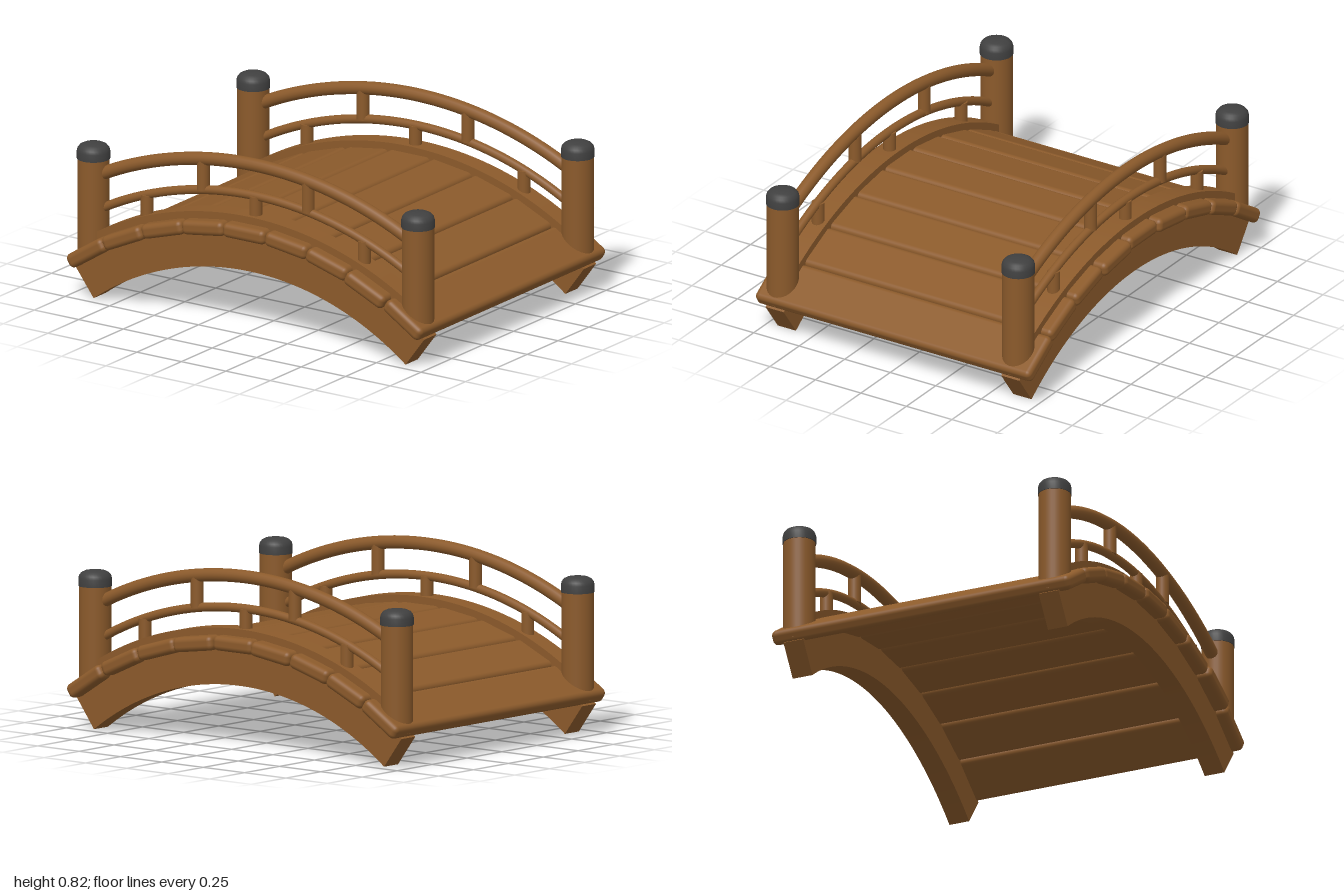
import * as THREE from 'three';
import { toCreasedNormals } from 'three/addons/utils/BufferGeometryUtils.js';
import { RoundedBoxGeometry } from 'three/addons/geometries/RoundedBoxGeometry.js';

const wood = new THREE.MeshStandardMaterial({ color: 0x8b5a2b });
wood.name = 'wood';
const iron = new THREE.MeshStandardMaterial({ color: 0x404040 });
iron.name = 'darkIron';

// every curved part shares one arch centre on the line x = 0
const CENTRE_Y = -1.175;
const SIDE_Z = 0.647;
const POST_X = 0.912;
const arcY = (r, x) => Math.sqrt(r * r - x * x) + CENTRE_Y;

function add(parent, name, geometry, material, x = 0, y = 0, z = 0) {
  const mesh = new THREE.Mesh(geometry, material);
  mesh.name = name;
  mesh.position.set(x, y, z);
  parent.add(mesh);
  return mesh;
}

// curved beam with radial ends, centred on z = 0
function archBeam(inner, outer, halfAngle, width) {
  const s = new THREE.Shape();
  const a0 = Math.PI / 2 - halfAngle, a1 = Math.PI / 2 + halfAngle;
  s.absarc(0, CENTRE_Y, outer, a0, a1, false);
  s.absarc(0, CENTRE_Y, inner, a1, a0, true);
  s.closePath();
  const g = new THREE.ExtrudeGeometry(s, { depth: width, bevelEnabled: false, curveSegments: 40 });
  g.translate(0, 0, -width / 2);
  return toCreasedNormals(g, 0.5);
}

// round handrail following the arch, ending inside the posts
function archRail(radius, thickness) {
  const end = Math.asin(0.88 / radius);
  const points = [];
  for (let i = 0; i <= 16; i++) {
    const a = -end + (2 * end * i) / 16;
    points.push(new THREE.Vector3(radius * Math.sin(a), radius * Math.cos(a) + CENTRE_Y, 0));
  }
  return new THREE.TubeGeometry(new THREE.CatmullRomCurve3(points), 48, thickness, 16);
}

// post whose foot is cut to the slope of the deck
function postGeometry(side) {
  const top = 0.67;
  const g = new THREE.CylinderGeometry(0.075, 0.075, top, 32);
  g.translate(0, top / 2, 0);
  const p = g.attributes.position;
  for (let i = 0; i < p.count; i++) {
    if (p.getY(i) < 0.1) p.setY(i, arcY(1.66, POST_X + p.getX(i) * side));
  }
  return g;
}

// domed cap with a small overhang
function capGeometry() {
  const profile = [[0, 0], [0.078, 0], [0.078, 0.035], [0.074, 0.05], [0.064, 0.062], [0.048, 0.07], [0.025, 0.074], [0, 0.075]];
  return toCreasedNormals(new THREE.LatheGeometry(profile.map(([x, y]) => new THREE.Vector2(x, y)), 32), 0.7);
}

function baluster(parent, x, fromR, toR) {
  const y0 = arcY(fromR, x), y1 = arcY(toR, x);
  add(parent, 'baluster', new THREE.CylinderGeometry(0.03, 0.03, y1 - y0, 20), wood, x, (y0 + y1) / 2, 0);
}

export function createModel() {
  const bridge = new THREE.Group();
  bridge.name = 'archedFootbridge';

  // deck of nine planks, slightly staggered sideways
  const deck = new THREE.Group();
  deck.name = 'deck';
  bridge.add(deck);
  const stagger = [0, 0, -0.002, -0.005, 0.002, -0.006, 0, 0.005, -0.006];
  for (let i = 0; i < 9; i++) {
    const a = (i - 4) * 0.1412;
    const length = 1.512 + (i % 2) * 0.008;
    const plank = add(deck, 'plank', new RoundedBoxGeometry(0.236, 0.07, length, 3, 0.025), wood,
      1.66 * Math.sin(a), 1.66 * Math.cos(a) + CENTRE_Y, stagger[i]);
    plank.rotation.z = -a;
  }

  for (const sz of [1, -1]) {
    const side = new THREE.Group();
    side.name = sz > 0 ? 'frontSide' : 'backSide';
    side.position.z = sz * SIDE_Z;
    bridge.add(side);

    // supporting beam below the planks and curb above them
    add(side, 'archBeam', archBeam(1.466, 1.64, Math.acos(1.175 / 1.466), 0.1), wood);
    add(side, 'curb', archBeam(1.64, 1.73, 0.53, 0.1), wood);

    // rails
    add(side, 'topRail', archRail(1.969, 0.031), wood);
    add(side, 'lowerRail', archRail(1.82, 0.021), wood);

    // short balusters below the lower rail, tall ones above it
    for (const x of [-0.61, 0, 0.61]) baluster(side, x, 1.71, 1.82);
    for (const x of [-0.295, 0.295]) baluster(side, x, 1.82, 1.969);

    // end posts with caps
    for (const sx of [1, -1]) {
      add(side, 'post', postGeometry(sx), wood, sx * POST_X, 0, 0);
      add(side, 'postCap', capGeometry(), iron, sx * POST_X, 0.662, 0);
    }
  }
  return bridge;
}
